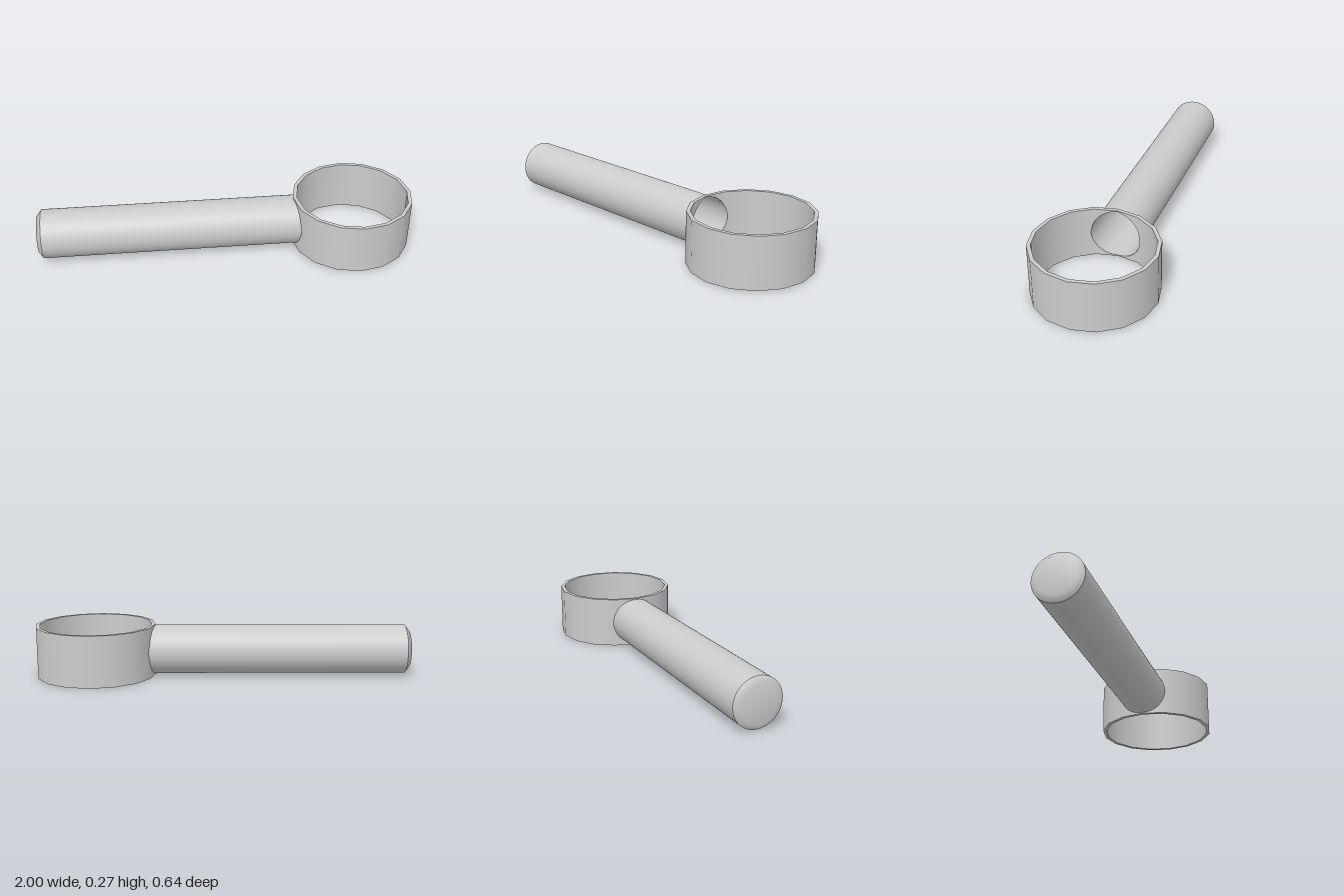
import * as THREE from 'three';

const SIDES = 16, OUTER = 0.32, INNER = 0.30, HEIGHT = 0.272;
const RING_X = 1 - OUTER, TUBE_R = 0.13, TUBE_Y = HEIGHT / 2, TUBE_END = -0.976;

// Corner i of the 16-sided ring, as a unit direction
const corner = (i) => {
  const a = (i / SIDES) * Math.PI * 2;
  return new THREE.Vector3(Math.cos(a), 0, Math.sin(a));
};

// One ring wall (facing = 1 outward, -1 inward) with the opening for the tube
function ringWall(radius, facing) {
  const pos = [], nor = [], index = [];
  const cuts = 24, columns = SIDES * cuts;
  for (let i = 0; i <= columns; i++) {
    const side = Math.floor(i / cuts);
    const p = corner(side).lerp(corner(side + 1), (i % cuts) / cuts);
    const n = p.clone().normalize().multiplyScalar(facing);
    p.multiplyScalar(radius);
    const half = p.x < 0 ? Math.sqrt(Math.max(0, TUBE_R ** 2 - p.z ** 2)) : 0;
    for (const y of [0, TUBE_Y - half, TUBE_Y + half, HEIGHT]) {
      pos.push(p.x, y, p.z);
      nor.push(n.x, 0, n.z);
    }
    if (i === columns) break;
    for (const row of [0, 2]) {
      const a = i * 4 + row, b = a + 4;
      if (facing > 0) index.push(a, a + 1, b, b, a + 1, b + 1);
      else index.push(a, b, a + 1, b, b + 1, a + 1);
    }
  }
  const g = new THREE.BufferGeometry();
  g.setAttribute('position', new THREE.Float32BufferAttribute(pos, 3));
  g.setAttribute('normal', new THREE.Float32BufferAttribute(nor, 3));
  g.setIndex(index);
  return g;
}

// x of the ring's inner wall where the tube meets it, at a given z
function joinX(z) {
  const step = Math.PI / SIDES, w = Math.abs(z);
  const first = INNER * Math.sin(2 * step);
  const drop = Math.min(w, first) * Math.tan(step) + Math.max(0, w - first) * Math.tan(3 * step);
  return RING_X - INNER + drop;
}

export function createModel() {
  const model = new THREE.Group();
  const material = new THREE.MeshStandardMaterial({ color: 0xcccccc, side: THREE.DoubleSide });
  const add = (parent, name, geometry) => {
    const mesh = new THREE.Mesh(geometry, material);
    mesh.name = name;
    parent.add(mesh);
    return mesh;
  };

  // Open ring with flat rims
  const ring = new THREE.Group();
  ring.name = 'ring';
  ring.position.x = RING_X;
  model.add(ring);
  add(ring, 'ringOuterWall', ringWall(OUTER, 1));
  add(ring, 'ringInnerWall', ringWall(INNER, -1));
  const rim = () => new THREE.RingGeometry(INNER, OUTER, SIDES);
  add(ring, 'ringTopRim', rim().rotateX(-Math.PI / 2)).position.y = HEIGHT;
  add(ring, 'ringBottomRim', rim().rotateX(Math.PI / 2));

  // Hollow handle, its open end trimmed to the ring
  const tube = new THREE.CylinderGeometry(TUBE_R, TUBE_R, 1, 64, 1, true).rotateZ(Math.PI / 2);
  const p = tube.attributes.position;
  for (let i = 0; i < p.count; i++) p.setX(i, p.getX(i) < 0 ? TUBE_END : joinX(p.getZ(i)));
  add(model, 'handleTube', tube).position.y = TUBE_Y;

  // Chamfered end cap
  const profile = [[TUBE_R, 0], [0.1, 0.024], [0, 0.024]].map(([r, h]) => new THREE.Vector2(r, h));
  const cap = new THREE.LatheGeometry(profile, 64).rotateZ(Math.PI / 2);
  add(model, 'handleEndCap', cap).position.set(TUBE_END, TUBE_Y, 0);

  return model;
}
